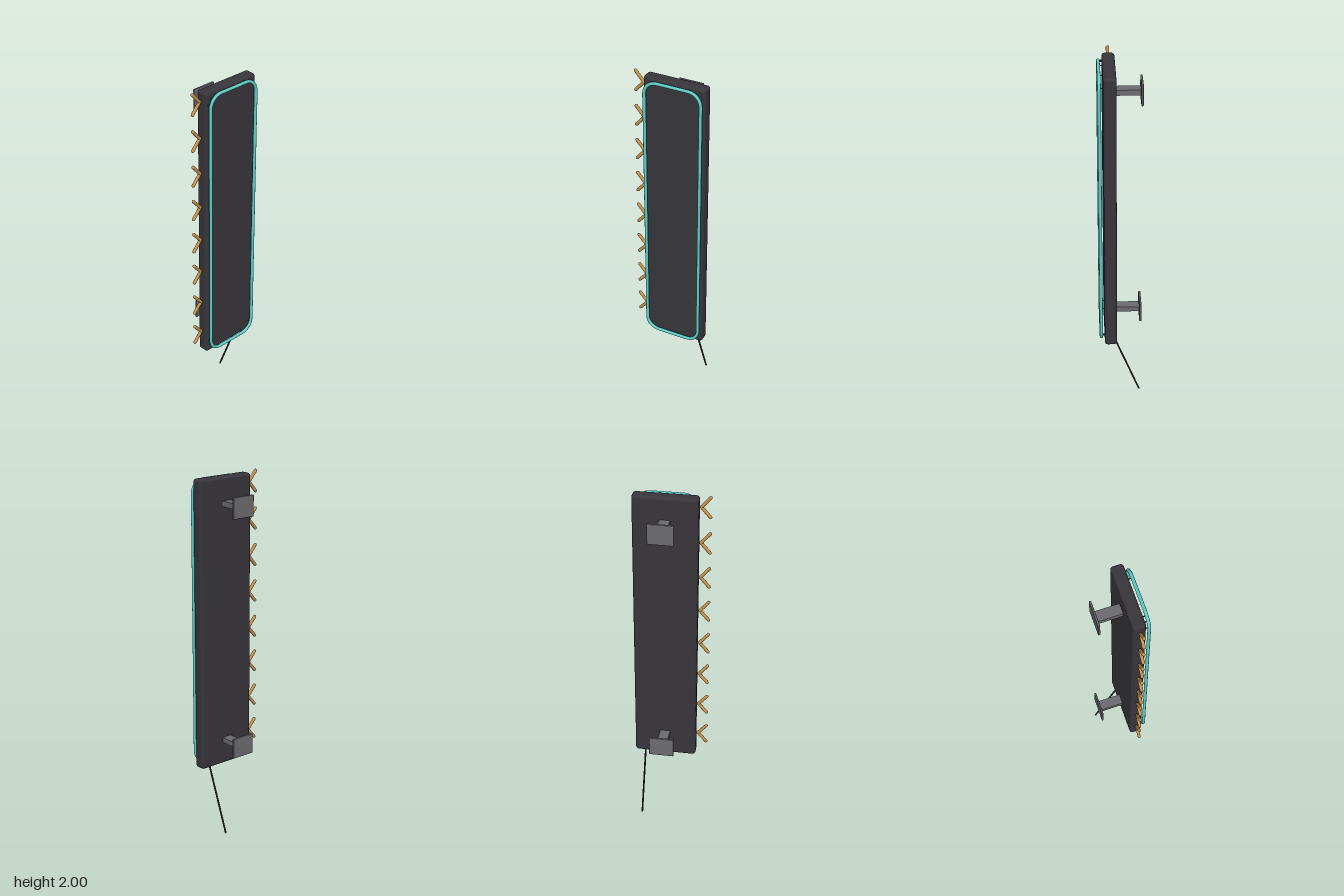
import * as THREE from 'three';
import { RoundedBoxGeometry } from 'three/addons/geometries/RoundedBoxGeometry.js';

const mat = (name, color) => {
  const m = new THREE.MeshStandardMaterial({ color });
  m.name = name;
  return m;
};

export function createModel() {
  const group = new THREE.Group();
  const charcoal = mat('charcoal', 0x38363b);
  const steel = mat('steel grey', 0x6c6c70);
  const teal = mat('neon teal', 0x5ccfca);
  const amber = mat('amber', 0xc4924c);
  const black = mat('cable black', 0x29282b);

  const add = (name, geometry, material, x = 0, y = 0, z = 0, parent = group) => {
    const mesh = new THREE.Mesh(geometry, material);
    mesh.name = name;
    mesh.position.set(x, y, z);
    parent.add(mesh);
    return mesh;
  };

  // Round-ended rod between two points
  const rod = (name, a, b, radius, material, parent = group) => {
    const dir = b.clone().sub(a);
    const mesh = add(name, new THREE.CapsuleGeometry(radius, dir.length(), 4, 12), material, 0, 0, 0, parent);
    mesh.position.copy(a).add(b).multiplyScalar(0.5);
    mesh.quaternion.setFromUnitVectors(new THREE.Vector3(0, 1, 0), dir.normalize());
    return mesh;
  };
  const v = (x, y, z) => new THREE.Vector3(x, y, z);

  // Sign cabinet
  const cx = 0.033, cy = 1.175;
  add('cabinet', new RoundedBoxGeometry(0.35, 1.63, 0.068, 3, 0.017), charcoal, cx, cy, 0.055);

  // Rounded rectangular neon loop in front of the cabinet
  const hw = 0.158, hh = 0.799, r = 0.07, zNeon = 0.108;
  const loop = new THREE.CurvePath();
  const corners = [[1, 1], [-1, 1], [-1, -1], [1, -1]];
  const arcEnds = corners.map(([sx, sy]) => {
    const h = v(cx + sx * hw, cy + sy * (hh - r), zNeon);
    const t = v(cx + sx * (hw - r), cy + sy * hh, zNeon);
    return sx * sy > 0 ? [h, t] : [t, h];
  });
  const points = [];
  corners.forEach(([sx, sy], i) => {
    const ox = cx + sx * (hw - r), oy = cy + sy * (hh - r);
    for (let k = 0; k <= 10; k++) {
      const a = (i + k / 10) * Math.PI / 2;
      points.push(v(ox + r * Math.cos(a), oy + r * Math.sin(a), zNeon));
    }
    // Straight run to the next corner
    const end = arcEnds[i][1], next = arcEnds[(i + 1) % 4][0];
    for (let k = 1; k < 8; k++) points.push(end.clone().lerp(next, k / 8));
  });
  points.forEach((p, i) => loop.add(new THREE.LineCurve3(p, points[(i + 1) % points.length])));
  const neonCurve = new THREE.CatmullRomCurve3(points, true, 'centripetal');
  add('neonTube', new THREE.TubeGeometry(neonCurve, 400, 0.009, 10, true), teal);

  // Small standoffs holding the neon loop
  const pins = [[-0.125, 1.92], [-0.105, 1.953], [-0.083, 1.968], [0.121, 1.974], [0.185, 1.932],
    [-0.125, 0.44], [-0.105, 0.397], [0.121, 0.376], [0.185, 0.418]];
  for (const [x, y] of pins) {
    add('neonStandoff', new THREE.CylinderGeometry(0.003, 0.003, 0.024, 8), charcoal, x, y, 0.096)
      .rotation.x = Math.PI / 2;
  }

  // Column of chevrons along the side
  for (let i = 0; i < 8; i++) {
    const chevron = new THREE.Group();
    chevron.name = 'chevron';
    chevron.position.set(-0.153, 0.501 + i * 0.205, 0.055);
    for (const s of [1, -1]) {
      rod('chevronArm', v(0, 0, 0), v(-0.047, s * 0.055, 0), 0.009, amber, chevron);
    }
    group.add(chevron);
  }

  // Wall brackets
  for (const y of [0.504, 1.848]) {
    const bracket = new THREE.Group();
    bracket.name = 'wallBracket';
    bracket.position.set(0.033, y, 0);
    add('bracketArm', new THREE.BoxGeometry(0.057, 0.03, 0.136), steel, 0, 0, -0.044, bracket);
    add('wallPlate', new RoundedBoxGeometry(0.14, 0.116, 0.012, 2, 0.004), steel, 0, 0, -0.115, bracket);
    group.add(bracket);
  }

  // Power cable running back to the floor
  rod('powerCable', v(0.15, 0.37, 0.034), v(0.15, 0.005, -0.107), 0.005, black);

  return group;
}
